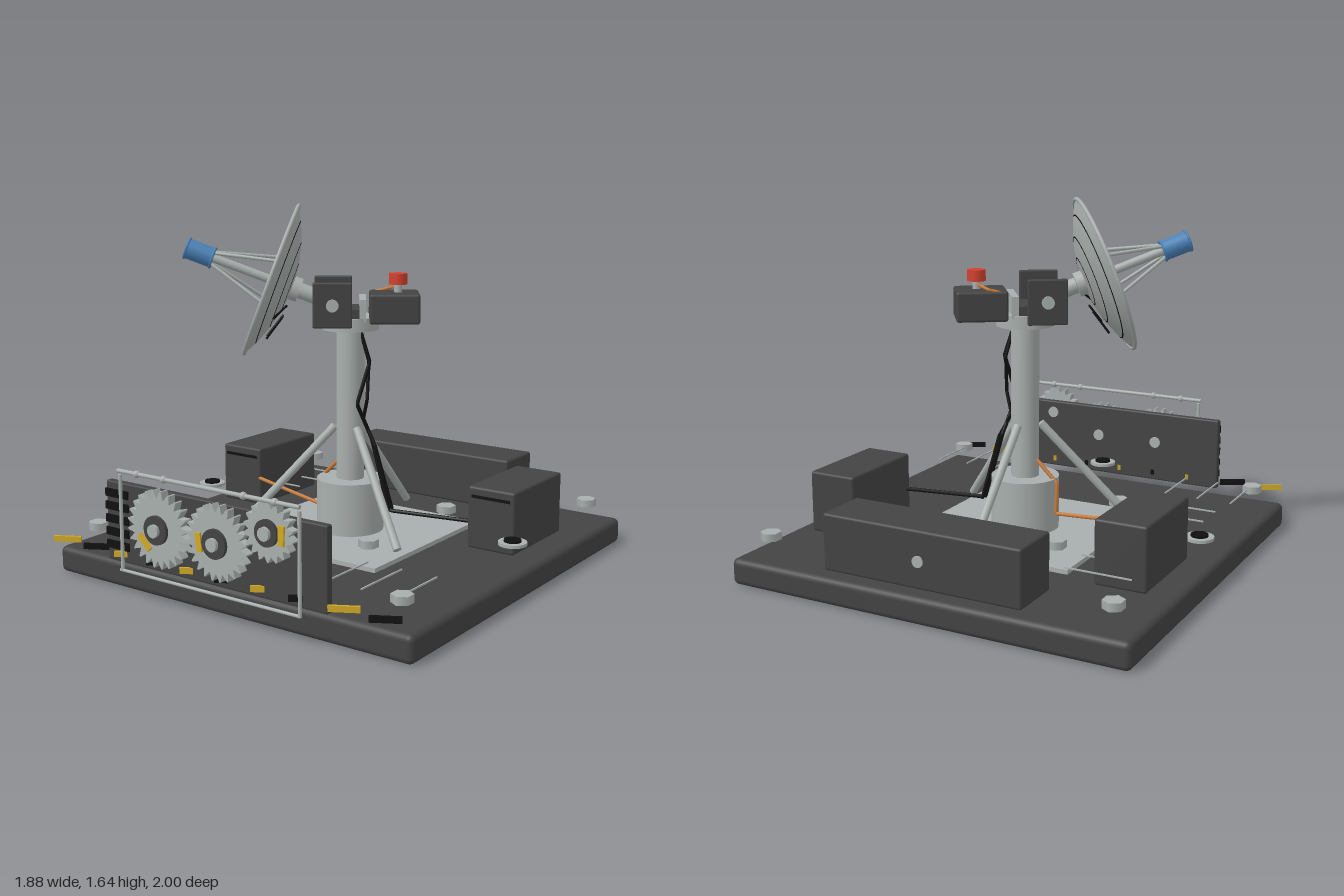
import * as THREE from 'three';
import { RoundedBoxGeometry } from 'three/addons/geometries/RoundedBoxGeometry.js';

const V = (x, y, z) => new THREE.Vector3(x, y, z);

export function createModel() {
  const root = new THREE.Group();
  root.name = 'dishAntennaStation';
  const mat = (name, color, extra = {}) => {
    const m = new THREE.MeshStandardMaterial({ color, ...extra });
    m.name = name;
    return m;
  };
  const dark = mat('dark grey', 0x434343);
  const light = mat('light grey', 0xa8afad, { side: THREE.DoubleSide });
  const black = mat('black', 0x101010);
  const yellow = mat('yellow', 0xd0a826);
  const blue = mat('blue', 0x4a82b8);
  const red = mat('red', 0xd2402f);
  const orange = mat('orange', 0xc67a3a);

  const add = (parent, name, geo, m, x = 0, y = 0, z = 0) => {
    const mesh = new THREE.Mesh(geo, m);
    mesh.name = name;
    mesh.position.set(x, y, z);
    parent.add(mesh);
    return mesh;
  };
  const box = (p, name, m, w, h, d, x, y, z) => add(p, name, new THREE.BoxGeometry(w, h, d), m, x, y, z);
  const rbox = (p, name, m, w, h, d, x, y, z, r = 0.012) =>
    add(p, name, new RoundedBoxGeometry(w, h, d, 3, r), m, x, y, z);
  // upright cylinder between two heights
  const post = (p, name, m, r, y0, y1, x, z, sides = 32) =>
    add(p, name, new THREE.CylinderGeometry(r, r, y1 - y0, sides), m, x, (y0 + y1) / 2, z);
  // cylinder between two points
  const rod = (p, name, m, a, b, r, sides = 14) => {
    const mesh = add(p, name, new THREE.CylinderGeometry(r, r, a.distanceTo(b), sides), m);
    mesh.position.copy(a).lerp(b, 0.5);
    mesh.quaternion.setFromUnitVectors(V(0, 1, 0), b.clone().sub(a).normalize());
    return mesh;
  };
  // cable with straight runs
  const cable = (p, name, m, pts, r = 0.009) => {
    const path = new THREE.CurvePath();
    for (let i = 1; i < pts.length; i++) path.add(new THREE.LineCurve3(pts[i - 1], pts[i]));
    add(p, name, new THREE.TubeGeometry(path, pts.length * 12, r, 8), m);
  };

  // base slab and mounting plate
  const CZ = -0.06;
  rbox(root, 'baseSlab', dark, 1.88, 0.12, 1.88, 0, 0.06, CZ, 0.028);
  box(root, 'mountingPlate', light, 0.86, 0.02, 0.86, 0, 0.13, CZ);

  // hex bolts on plate and base corners
  for (const sx of [-1, 1]) for (const sz of [-1, 1]) {
    post(root, 'plateBolt', light, 0.046, 0.19, 0.225, sx * 0.325, CZ + sz * 0.325, 6);
    post(root, 'cornerBolt', light, 0.046, 0.19, 0.225, sx * 0.815, CZ + sz * 0.815, 6);
  }
  // cable grommets
  for (const [x, z] of [[-0.85, CZ], [0.85, CZ], [0, 0.79]]) {
    post(root, 'grommetRing', light, 0.063, 0.212, 0.226, x, z);
    post(root, 'grommetCore', black, 0.038, 0.212, 0.236, x, z);
  }
  // thin inlaid strips
  for (const z of [-0.625, -0.46, -0.3, 0.175, 0.33])
    box(root, 'sideStrip', light, 0.3, 0.006, 0.006, -0.63, 0.208, z);
  for (const x of [-0.8, -0.635, -0.47, 0.47, 0.635, 0.8])
    box(root, 'frontStrip', light, 0.006, 0.006, 0.29, x, 0.208, 0.625);

  // equipment cabinets
  rbox(root, 'rearCabinet', dark, 0.935, 0.25, 0.245, 0, 0.265, -0.842);
  rod(root, 'rearCabinetKnob', light, V(0, 0.26, -0.96), V(0, 0.26, -0.972), 0.025);
  for (const s of [-1, 1]) {
    rbox(root, 'sideCabinet', dark, 0.232, 0.282, 0.455, s * 0.706, 0.277, -0.35);
    box(root, 'cabinetSlot', black, 0.19, 0.013, 0.008, s * 0.706, 0.375, -0.122);
  }

  // mast with socket and three braces
  post(root, 'mastSocket', light, 0.155, 0.14, 0.382, 0, CZ);
  post(root, 'mast', light, 0.064, 0.14, 1.1, 0, CZ);
  post(root, 'mastFlange', light, 0.13, 1.075, 1.135, 0, CZ);
  for (let i = 0; i < 3; i++) {
    const a = Math.PI + i * Math.PI * 2 / 3, s = Math.sin(a), c = Math.cos(a);
    rod(root, 'mastBrace', light, V(0.07 * s, 0.625, CZ + 0.07 * c), V(0.485 * s, 0.17, CZ + 0.485 * c), 0.019);
  }

  // cables
  cable(root, 'powerCable', black, [V(0.055, 1.07, -0.06), V(0.1, 0.93, -0.07), V(0.065, 0.74, -0.02),
    V(0.1, 0.57, -0.09), V(0.2, 0.25, -0.08), V(0.6, 0.25, -0.15)]);
  cable(root, 'signalCable', black, [V(0.055, 1.07, -0.06), V(0.085, 0.93, -0.085), V(0.1, 0.76, -0.05),
    V(0.065, 0.66, -0.07), V(0.13, 0.55, -0.07), V(0.2, 0.25, -0.11)], 0.008);
  cable(root, 'groundCable', orange, [V(-0.6, 0.27, -0.13), V(-0.35, 0.24, -0.095), V(-0.16, 0.22, -0.065),
    V(-0.165, 0.36, -0.06), V(-0.06, 0.46, -0.06)]);
  cable(root, 'beaconCable', orange, [V(0.04, 1.235, -0.2), V(0.085, 1.25, -0.235), V(0.13, 1.26, -0.22),
    V(0.17, 1.262, -0.185)], 0.007);

  // turning head: yoke, shaft and drive box
  const head = new THREE.Group();
  head.name = 'turningHead';
  head.position.set(0, 0, CZ);
  head.rotation.y = Math.atan2(-0.818, 0.575);
  root.add(head);
  for (const s of [-1, 1]) rbox(head, 'yokePlate', dark, 0.03, 0.2, 0.175, s * 0.155, 1.2, 0.08, 0.006);
  rod(head, 'tiltShaft', light, V(-0.182, 1.2, 0.08), V(0.182, 1.2, 0.08), 0.028, 20);
  box(head, 'yokeBackPlate', light, 0.23, 0.1, 0.03, 0, 1.17, -0.055);
  box(head, 'yokeSaddle', dark, 0.22, 0.05, 0.1, 0, 1.15, 0.01);
  rbox(head, 'driveBox', dark, 0.212, 0.135, 0.228, 0, 1.175, -0.198);
  post(head, 'beaconStem', light, 0.018, 1.24, 1.28, 0.0, -0.215);
  post(head, 'beacon', red, 0.041, 1.278, 1.328, 0.0, -0.215);

  // dish assembly, pointing along local +z
  const dish = new THREE.Group();
  dish.name = 'dishAssembly';
  dish.position.set(0, 1.193, 0.08);
  dish.rotation.x = -0.36;
  head.add(dish);
  const R = 0.355, surf = r => 0.195 + 0.1 * (r / R) ** 2;
  const profile = Array.from({ length: 17 }, (_, i) => {
    const r = 0.0005 + R * i / 16;
    return new THREE.Vector2(r, surf(r));
  });
  add(dish, 'reflector', new THREE.LatheGeometry(profile, 64).rotateX(Math.PI / 2), light);
  add(dish, 'reflectorRim', new THREE.TorusGeometry(R, 0.009, 10, 64), light, 0, 0, surf(R));
  for (const r of [0.11, 0.2, 0.29])
    add(dish, 'reflectorRing', new THREE.TorusGeometry(r, 0.006, 8, 56), black, 0, 0, surf(r) + 0.005);
  for (let i = 0; i < 12; i++) {
    const c = Math.cos(i * Math.PI / 6), s = Math.sin(i * Math.PI / 6);
    const pts = [0.04, 0.12, 0.21, 0.29].map(r => V(r * c, r * s, surf(r) + 0.005));
    add(dish, 'reflectorSpoke', new THREE.TubeGeometry(new THREE.CatmullRomCurve3(pts), 12, 0.004, 6), black);
  }
  for (const deg of [-30, -60, -90]) {
    const c = Math.cos(deg * Math.PI / 180), s = Math.sin(deg * Math.PI / 180);
    rod(dish, 'rearRib', black, V(0.14 * c, 0.14 * s, 0.19), V(0.26 * c, 0.26 * s, 0.225), 0.005, 8);
  }
  rod(dish, 'dishNeck', light, V(0, 0, -0.02), V(0, 0, 0.2), 0.036, 20);
  rod(dish, 'dishHub', light, V(0, 0, 0.16), V(0, 0, 0.215), 0.055, 24);
  rod(dish, 'feedTube', light, V(0, 0, 0.2), V(0, 0, 0.6), 0.02);
  for (let i = 0; i < 4; i++) {
    const a = Math.PI / 4 + i * Math.PI / 2, c = Math.cos(a), s = Math.sin(a);
    rod(dish, 'feedStrut', light, V(0.17 * c, 0.17 * s, surf(0.17)), V(0.03 * c, 0.03 * s, 0.59), 0.008, 10);
  }
  rod(dish, 'feedHorn', blue, V(0, 0, 0.575), V(0, 0, 0.7), 0.046, 28);
  for (const z of [0.577, 0.698])
    add(dish, 'feedHornRim', new THREE.TorusGeometry(0.045, 0.006, 8, 28), blue, 0, 0, z);

  // front gear panel
  const panel = new THREE.Group();
  panel.name = 'gearPanel';
  root.add(panel);
  rbox(panel, 'panelBoard', dark, 1.17, 0.352, 0.035, -0.003, 0.313, 0.9, 0.008);
  for (let i = 0; i < 5; i++)
    box(panel, 'louvre', black, 0.13, 0.035, 0.016, -0.522, 0.21 + i * 0.057, 0.918);

  const gear = (x, y, r, teeth, hub, crankX, crankY, crankTurn) => {
    const shape = new THREE.Shape();
    for (let i = 0; i < teeth * 4; i++) {
      const k = i % 4, rr = k === 1 || k === 2 ? r : r * 0.8;
      const a = (Math.floor(i / 4) + [0, 0.4, 0.55, 0.95][k]) / teeth * Math.PI * 2;
      shape[i ? 'lineTo' : 'moveTo'](rr * Math.cos(a), rr * Math.sin(a));
    }
    shape.closePath();
    const geo = new THREE.ExtrudeGeometry(shape, { depth: 0.04, bevelEnabled: false });
    add(panel, 'gear', geo, light, x, y, 0.925);
    rod(panel, 'gearHub', dark, V(x, y, 0.92), V(x, y, 0.98), hub, 28);
    rod(panel, 'gearShaft', light, V(x, y, 0.875), V(x, y, 0.995), 0.028, 20);
    box(panel, 'gearMarker', yellow, 0.028, 0.08, 0.009, x + crankX, y + crankY, 0.969).rotation.z = crankTurn;
  };
  gear(-0.25, 0.337, 0.167, 24, 0.062, -0.068, -0.063, 0.8);
  gear(0.067, 0.337, 0.16, 24, 0.062, -0.085, -0.008, 0.12);
  gear(0.333, 0.43, 0.122, 18, 0.055, 0.07, 0, -0.03);

  // guard frame around the gears
  const FZ = 0.972;
  rod(panel, 'guardTop', light, V(-0.46, 0.56, FZ), V(0.495, 0.56, FZ), 0.009);
  rod(panel, 'guardBottom', light, V(-0.46, 0.128, FZ), V(0.495, 0.128, FZ), 0.007);
  for (const x of [-0.447, 0.493]) rod(panel, 'guardSide', light, V(x, 0.125, FZ), V(x, 0.545, FZ), 0.008);
  for (const x of [-0.35, -0.2, 0.22, 0.375])
    add(panel, 'guardBead', new THREE.SphereGeometry(0.016, 14, 10), light, x, 0.56, FZ);

  // alternating hazard dashes
  for (let i = 0; i < 10; i++)
    box(root, 'hazardDash', i % 2 ? black : yellow, 0.125, 0.026, 0.012, -0.85 + i * 0.188, 0.176, 0.91)
      .rotation.y = 0.5;

  return root;
}
